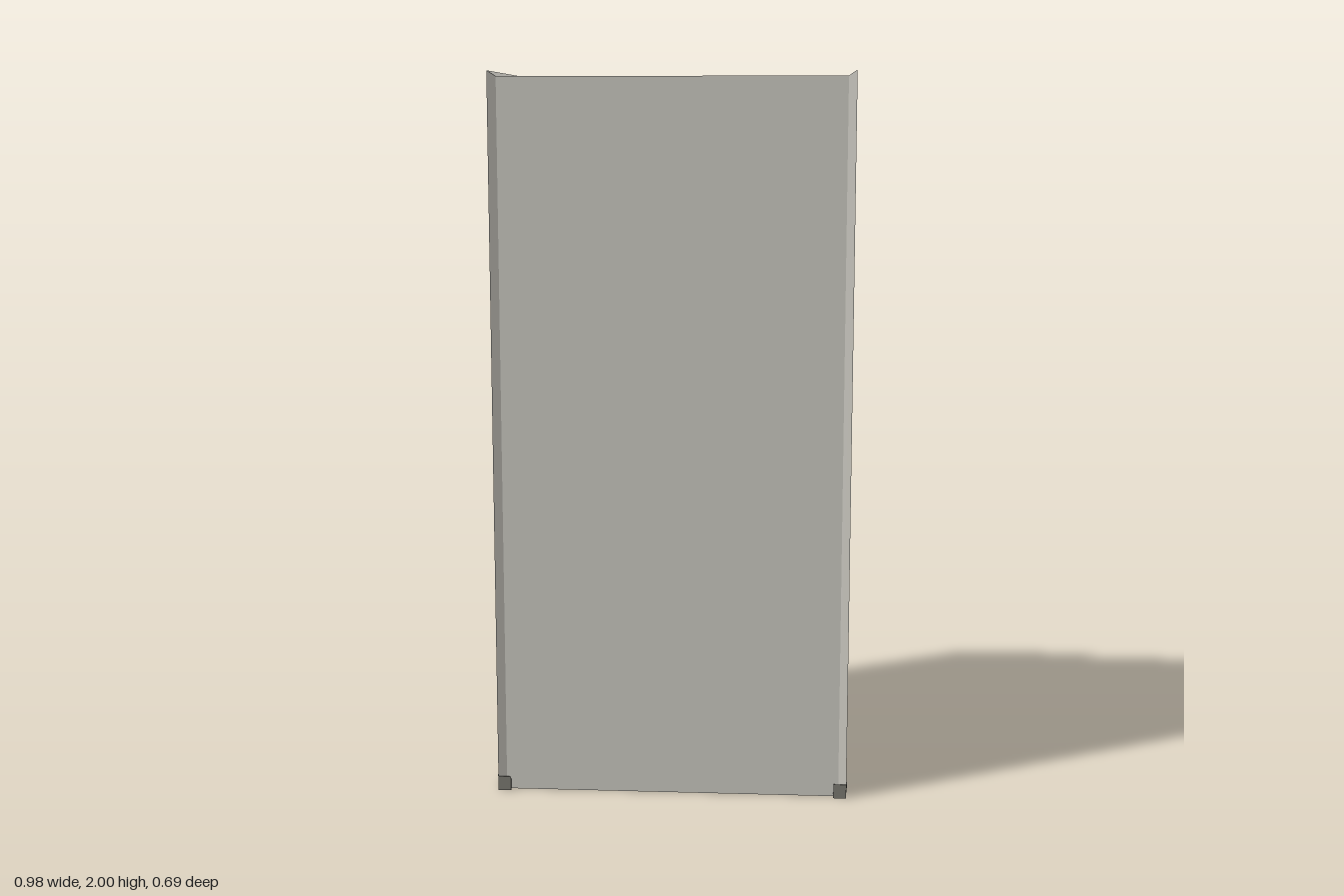
import * as THREE from 'three';

export function createModel() {
  const root = new THREE.Group();
  const steel = new THREE.MeshStandardMaterial({ color: 0xc4c2ba });
  steel.name = 'painted steel';
  const dark = new THREE.MeshStandardMaterial({ color: 0x77756e });
  dark.name = 'dark fittings';

  const add = (name, geo, mat, x = 0, y = 0, z = 0, parent = root) => {
    const m = new THREE.Mesh(geo, mat);
    m.name = name;
    m.position.set(x, y, z);
    parent.add(m);
    return m;
  };
  // Box given by its limits on each axis
  const box = (name, mat, x0, x1, y0, y1, z0, z1, parent = root) =>
    add(name, new THREE.BoxGeometry(x1 - x0, y1 - y0, z1 - z0), mat,
      (x0 + x1) / 2, (y0 + y1) / 2, (z0 + z1) / 2, parent);

  // Carcass, slightly lower and shallower than the side panels
  box('carcass', steel, -0.47, 0.47, 0, 1.985, -0.25, 0.325);

  // Side panels whose inner edge slopes down to the carcass
  for (const s of [-1, 1]) {
    const geo = new THREE.BoxGeometry(0.025, 2, 0.59).toNonIndexed();
    const p = geo.attributes.position;
    for (let i = 0; i < p.count; i++) {
      if (p.getX(i) * s < 0) {
        if (p.getY(i) > 0) p.setY(i, 0.983);
        if (p.getZ(i) > 0) p.setZ(i, 0.278);
      }
    }
    geo.computeVertexNormals();
    add('sidePanel', geo, steel, s * 0.4775, 1, 0.045);
  }

  // Foot plates at the lower corners
  const plate = (r, a0, a1) => {
    const sh = new THREE.Shape();
    sh.moveTo(0, 0);
    sh.absarc(0, 0, r, a0, a1, false);
    return new THREE.ExtrudeGeometry(sh, { depth: 0.002, bevelEnabled: false, curveSegments: 10 });
  };
  for (const s of [-1, 1]) {
    const front = add('frontFootPlate', plate(0.045, Math.PI / 2, Math.PI), dark, s * 0.49, 0, 0.34);
    front.rotation.y = s * Math.PI / 2;
    if (s > 0) front.geometry = plate(0.045, 0, Math.PI / 2);
    const back = add('backFootPlate', plate(0.042, 0, Math.PI), dark, s * 0.49, 0, -0.205);
    back.rotation.y = s * Math.PI / 2;
    box('frontFootPlate', dark, s * 0.472 - 0.018, s * 0.472 + 0.018, 0, 0.04, 0.338, 0.341);
  }

  // Curved drawer pull: a thin hood bending outward and down
  const hood = new THREE.Shape();
  hood.moveTo(0, 0.003);
  hood.quadraticCurveTo(0.024, -0.006, 0.032, -0.045);
  hood.lineTo(0.028, -0.045);
  hood.quadraticCurveTo(0.02, -0.01, 0, -0.001);
  const pullGeo = new THREE.ExtrudeGeometry(hood, { depth: 0.085, bevelEnabled: false, curveSegments: 5 });
  pullGeo.translate(0, 0, -0.0425);
  pullGeo.rotateY(Math.PI / 2);
  const drawerGeo = new THREE.BoxGeometry(0.146, 0.107, 0.006);
  const rows = [1.48, 1.367, 1.25, 1.13, 1.01, 0.89, 0.775, 0.66, 0.5, 0.385, 0.27];

  // Two banks of drawers, each under a plain upper panel
  for (const s of [-1, 1]) {
    const bank = new THREE.Group();
    bank.name = s > 0 ? 'leftDrawerBank' : 'rightDrawerBank';
    root.add(bank);
    const face = s > 0 ? -0.258 : -0.253;
    box('upperPanel', steel, s * 0.24 - 0.225, s * 0.24 + 0.225, 1.515, 1.93, face - 0.003, -0.25, bank);
    box('divider', steel, s * 0.24 - 0.23, s * 0.24 + 0.23, 0.545, 0.565, face - 0.006, -0.25, bank);
    for (const y of rows) {
      for (const x of [0.087, 0.238, 0.388]) {
        add('drawerFront', drawerGeo, steel, s * x, y - 0.028, face + 0.001, bank);
        add('drawerPull', pullGeo, steel, s * x, y, face - 0.001, bank);
      }
    }
  }

  // Frame around the opening
  for (const x of [-0.478, 0, 0.478]) {
    box('framePost', steel, x - 0.008, x + 0.008, 0.14, 1.95, -0.258, -0.25);
  }
  box('topRail', steel, -0.48, 0.48, 1.94, 1.96, -0.256, -0.25);
  box('bottomRail', steel, -0.48, 0.48, 0.135, 0.15, -0.256, -0.25);

  // Hinges
  const hingeGeo = new THREE.CylinderGeometry(0.008, 0.008, 0.06, 10);
  for (const y of [1.85, 1.6, 0.64, 0.36]) add('centreHinge', hingeGeo, dark, 0.017, y, -0.268);
  for (const x of [-0.445, 0.466]) {
    for (const y of [1.85, 0.3]) add('outerHinge', hingeGeo, dark, x, y, -0.262);
  }

  // Door standing off the carcass, with its handle and latch
  const door = new THREE.Group();
  door.name = 'door';
  root.add(door);
  box('doorPanel', steel, -0.488, -0.012, 0.18, 1.95, -0.31, -0.296, door);
  box('doorHandle', dark, -0.217, -0.17, 1.02, 1.11, -0.345, -0.315, door);
  const shaft = new THREE.CylinderGeometry(0.005, 0.005, 0.05, 10).rotateX(Math.PI / 2);
  add('handleShaft', shaft, dark, -0.197, 1.065, -0.3, door);
  box('latch', dark, -0.235, -0.19, 1.05, 1.09, -0.289, -0.28, door);
  add('catchPin', shaft, dark, -0.1, 1.07, -0.278, door);
  box('catchPlate', dark, -0.125, -0.075, 1.06, 1.09, -0.287, -0.28, door);

  return root;
}
